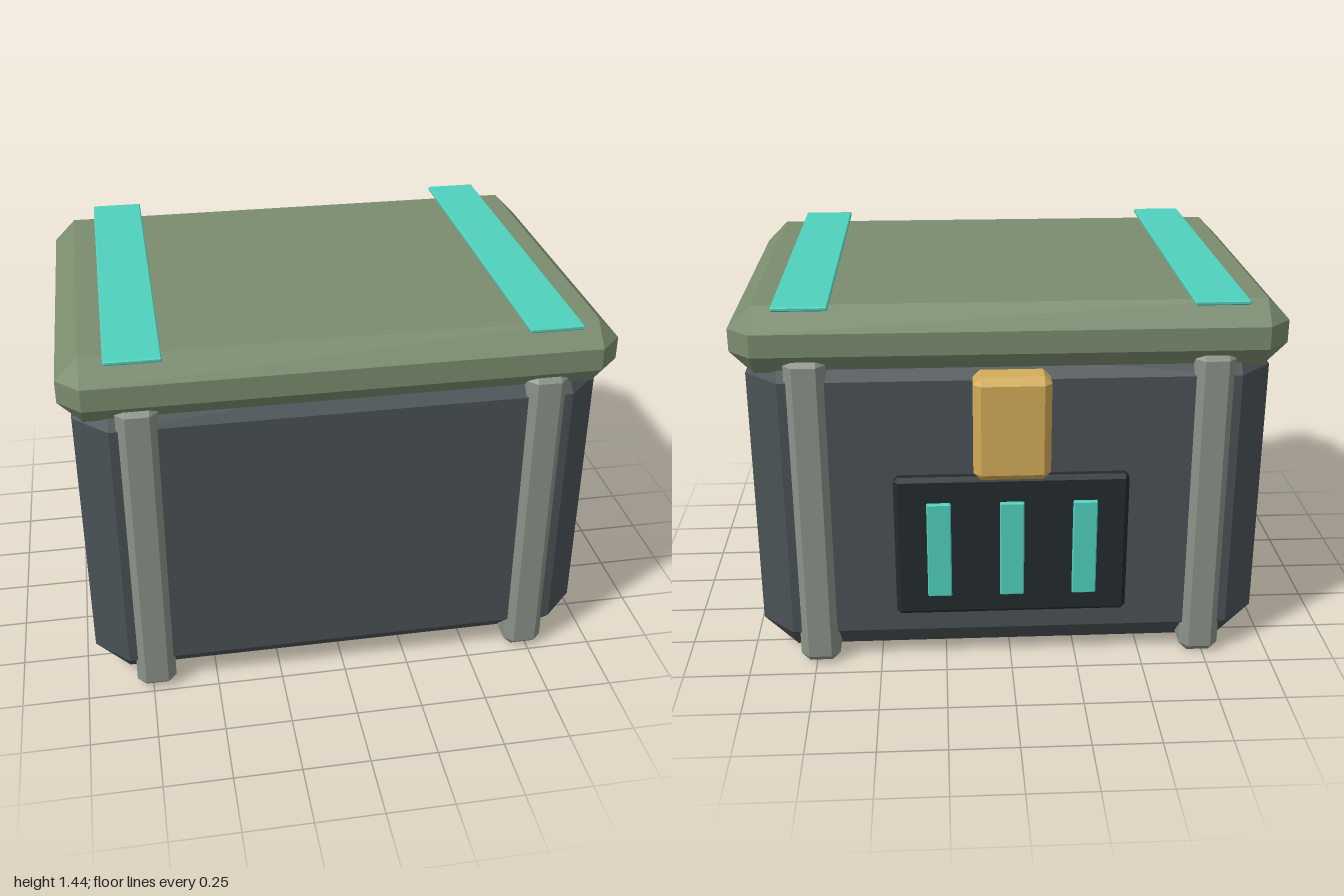
import * as THREE from 'three';
import { ConvexGeometry } from 'three/addons/geometries/ConvexGeometry.js';

const material = (color) => new THREE.MeshStandardMaterial({ color, flatShading: true });
const shell = material(0x4a5255);
const olive = material(0x7a8c6e);
const steel = material(0x8b938a);
const brass = material(0xd3ac58);
const dark = material(0x242a2d);
const teal = material(0x4fd1bd);

// Box given by [min, max] per axis, with all edges chamfered by c
function chamferBox(name, mat, [x0, x1], [y0, y1], [z0, z1], c) {
  const half = [(x1 - x0) / 2, (y1 - y0) / 2, (z1 - z0) / 2];
  const points = [];
  for (const sx of [-1, 1]) for (const sy of [-1, 1]) for (const sz of [-1, 1]) {
    for (let face = 0; face < 3; face++) {
      const p = half.map((h, axis) => (axis === face ? h : h - c));
      points.push(new THREE.Vector3(p[0] * sx, p[1] * sy, p[2] * sz));
    }
  }
  const mesh = new THREE.Mesh(new ConvexGeometry(points), mat);
  mesh.name = name;
  mesh.position.set((x0 + x1) / 2, (y0 + y1) / 2, (z0 + z1) / 2);
  return mesh;
}

export function createModel() {
  const crate = new THREE.Group();
  crate.name = 'crate';

  // Main box and overhanging lid
  crate.add(
    chamferBox('body', shell, [-0.96, 0.96], [0.004, 1.27], [-0.66, 0.71], 0.125),
    chamferBox('lid', olive, [-1, 1], [1.17, 1.42], [-0.695, 0.745], 0.083),
  );

  // Bands around the body and light strips along the lid
  for (const [side, x] of [['right', -0.735], ['left', 0.735]]) {
    crate.add(
      chamferBox(side + 'Band', steel, [x - 0.075, x + 0.075], [0, 1.24], [-0.685, 0.735], 0.032),
      chamferBox(side + 'LidStrip', teal, [x - 0.098, x + 0.098], [1.424, 1.44], [-0.71, 0.753], 0.004),
    );
  }

  // Rear latch and vent panel
  crate.add(
    chamferBox('latch', brass, [-0.14, 0.14], [0.785, 1.18], [-0.755, -0.62], 0.027),
    chamferBox('ventPanel', dark, [-0.435, 0.435], [0.215, 0.78], [-0.7, -0.64], 0.016),
  );

  // Glowing bars standing just off the panel
  for (const x of [-0.27, 0, 0.27]) {
    crate.add(chamferBox('ventBar', teal, [x - 0.045, x + 0.045], [0.31, 0.69], [-0.732, -0.712], 0.004));
  }
  return crate;
}
